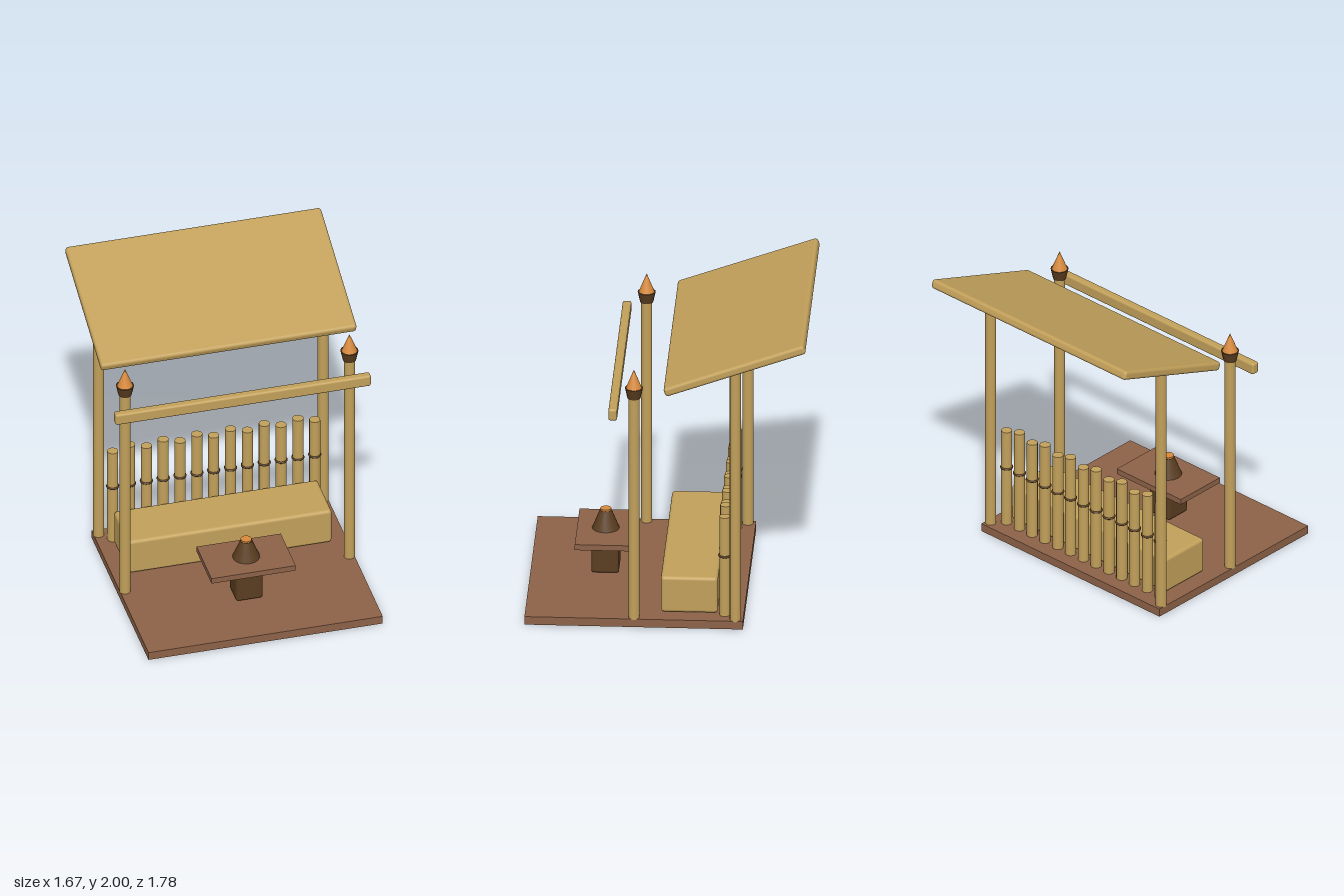
import * as THREE from 'three';
import { RoundedBoxGeometry } from 'three/addons/geometries/RoundedBoxGeometry.js';

const mat = (name, color) => {
  const m = new THREE.MeshStandardMaterial({ color });
  m.name = name;
  return m;
};

export function createModel() {
  const bamboo = mat('bamboo', 0xc2a05a);
  const plank = mat('red brown plank', 0x8d6248);
  const dark = mat('dark brown', 0x5a3d20);
  const flame = mat('flame orange', 0xd98a3c);

  const model = new THREE.Group();
  model.name = 'pavilion';

  const add = (name, geometry, material, x, y, z, parent = model) => {
    const mesh = new THREE.Mesh(geometry, material);
    mesh.name = name;
    mesh.position.set(x, y, z);
    parent.add(mesh);
    return mesh;
  };
  // upright round part standing on y0 and ending at y1
  const round = (name, material, rTop, rBottom, y0, y1, x, z, parent) =>
    add(name, new THREE.CylinderGeometry(rTop, rBottom, y1 - y0, 16), material, x, (y0 + y1) / 2, z, parent);
  const rounded = (w, h, d, r) => new RoundedBoxGeometry(w, h, d, 3, r);

  // floor
  add('floor', new THREE.BoxGeometry(1.53, 0.055, 1.38), plank, 0, 0.0275, 0.2);

  // posts, with torches on the front pair
  for (const side of [-1, 1]) {
    const x = side * 0.733;
    round('frontPost', bamboo, 0.035, 0.035, 0.05, 1.58, x, 0.2);
    round('backPost', bamboo, 0.035, 0.035, 0.05, 1.79, x, -0.44);
    const torch = new THREE.Group();
    torch.name = 'torch';
    model.add(torch);
    round('torchCup', dark, 0.057, 0.042, 1.575, 1.645, x, 0.2, torch);
    round('torchFlame', flame, 0, 0.05, 1.645, 1.77, x, 0.2, torch);
  }

  // sloping roof and front beam
  const roof = add('roof', rounded(1.67, 0.06, 0.943, 0.02), bamboo, 0, 1.815, -0.44);
  roof.rotation.x = THREE.MathUtils.degToRad(20);
  add('frontBeam', rounded(1.67, 0.08, 0.055, 0.015), bamboo, 0, 1.495, 0.329);

  // bench
  add('bench', rounded(1.33, 0.245, 0.36, 0.022), bamboo, 0, 0.1825, -0.145);

  // back fence of alternating canes, each with a dark binding
  const fence = new THREE.Group();
  fence.name = 'backFence';
  model.add(fence);
  const ring = new THREE.TorusGeometry(0.035, 0.007, 8, 20).rotateX(Math.PI / 2);
  for (let i = 0; i < 13; i++) {
    const x = (i - 6) * 0.11;
    round('cane', bamboo, 0.035, 0.035, 0.05, i % 2 ? 0.765 : 0.735, x, -0.37, fence);
    add('caneBinding', ring, dark, x, 0.465, -0.37, fence);
  }

  // table with a small burner
  const table = new THREE.Group();
  table.name = 'table';
  model.add(table);
  const z = 0.418;
  add('tableLeg', rounded(0.175, 0.24, 0.175, 0.018), dark, 0, 0.178, z, table);
  add('tableTop', new THREE.BoxGeometry(0.55, 0.038, 0.362), plank, 0, 0.319, z, table);
  round('burner', dark, 0.037, 0.087, 0.338, 0.462, 0, z, table);
  round('burnerFlame', flame, 0.035, 0.035, 0.455, 0.473, 0, z, table);

  return model;
}
